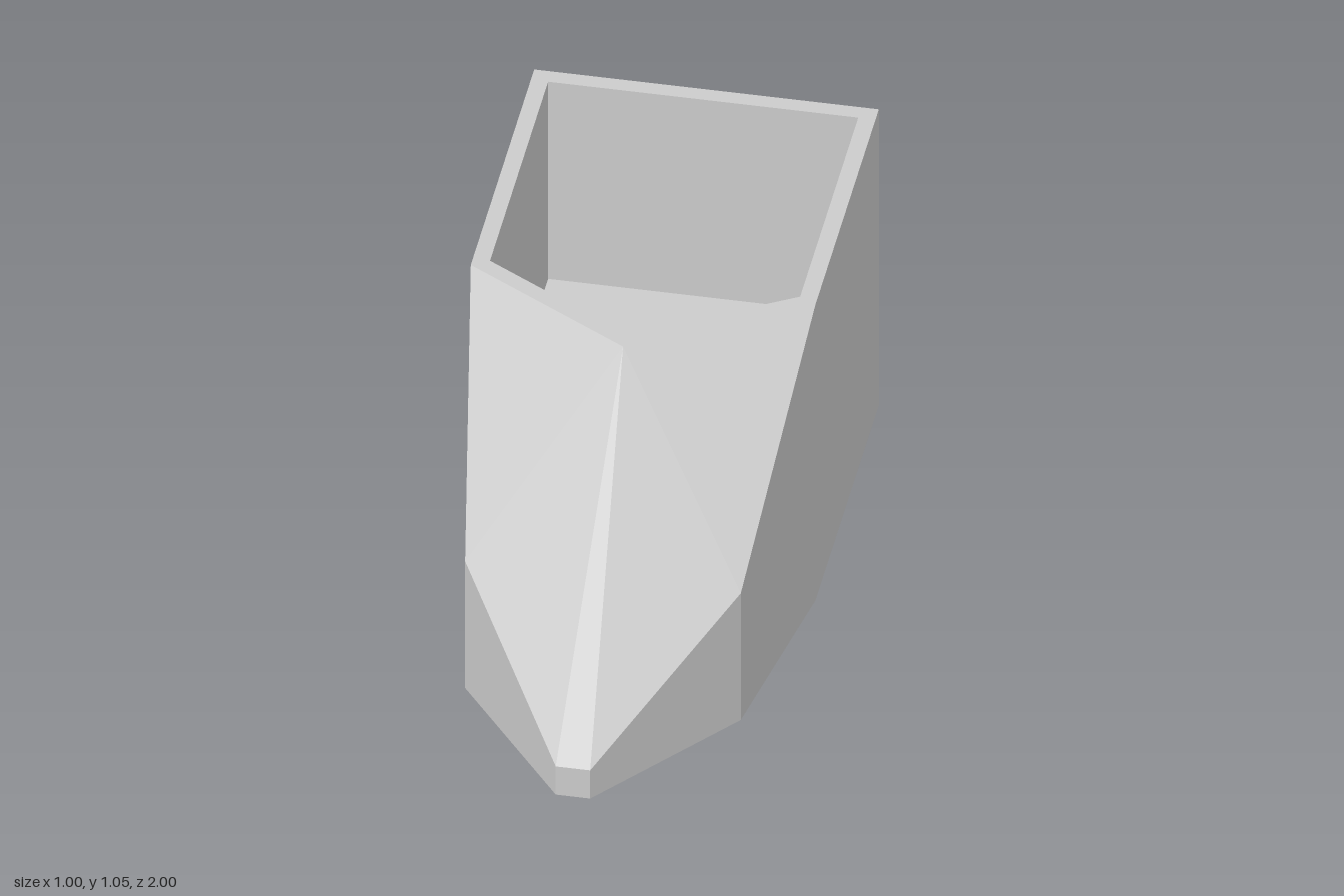
import * as THREE from 'three';

const material = new THREE.MeshStandardMaterial({ color: 0xcccccc, flatShading: true });
const TOP = 1.05;

// Flat panels given for the +x half; each is fanned into triangles and mirrored to -x.
function mirroredPanels(name, panels, inward = false) {
  const pos = [];
  const tri = (a, b, c) => pos.push(...a, ...b, ...c);
  const mirror = ([x, y, z]) => [-x, y, z];
  for (const p of panels) {
    for (let i = 1; i < p.length - 1; i++) {
      const [a, b, c] = inward ? [p[0], p[i + 1], p[i]] : [p[0], p[i], p[i + 1]];
      tri(a, b, c);
      tri(mirror(a), mirror(c), mirror(b));
    }
  }
  const geometry = new THREE.BufferGeometry();
  geometry.setAttribute('position', new THREE.Float32BufferAttribute(pos, 3));
  geometry.computeVertexNormals();
  const mesh = new THREE.Mesh(geometry, material);
  mesh.name = name;
  return mesh;
}

// Upper outline of a half hull: back centre, back corner, shoulder, cheek, nose, nose centre, peak
function outline(halfWidth, back, shoulderZ, cheek, nose, peakZ) {
  return {
    backMid: [0, TOP, back],
    back: [halfWidth, TOP, back],
    shoulder: [halfWidth, TOP, shoulderZ],
    cheek,
    nose,
    noseMid: [0, nose[1], nose[2]],
    peak: [0, TOP, peakZ],
  };
}

// Walls dropped from the outline to a floor height, plus the floor and sloping front
function hullPanels(o, floorY) {
  const down = ([x, , z]) => [x, floorY, z];
  const ring = [o.backMid, o.back, o.shoulder, o.cheek, o.nose, o.noseMid];
  const panels = [ring.map(down)];
  for (let i = 0; i < ring.length - 1; i++) {
    const a = ring[i], b = ring[i + 1];
    panels.push([down(b), down(a), a, b]);
  }
  panels.push([o.peak, o.cheek, o.shoulder], [o.peak, o.noseMid, o.nose, o.cheek]);
  return panels;
}

export function createModel() {
  const group = new THREE.Group();
  group.name = 'hollowHull';

  const outer = outline(0.5, -1, -0.05, [0.4, 0.45, 0.55], [0.05, 0.1, 1], 0.25);
  const inner = outline(0.45, -0.95, -0.08, [0.35, 0.45, 0.52], [0.02, 0.1, 0.94], 0.19);
  const floorY = 0.05;

  group.add(mirroredPanels('outerShell', hullPanels(outer, 0)));
  group.add(mirroredPanels('innerShell', hullPanels(inner, floorY), true));

  // Flat rim joining both shells around the opening
  const keys = ['backMid', 'back', 'shoulder', 'peak'];
  const rim = keys.slice(1).map((k, i) => [outer[keys[i]], inner[keys[i]], inner[k], outer[k]]);
  group.add(mirroredPanels('rim', rim));

  // Bench across the back of the cavity
  const seatHeight = 0.3, seatDepth = 0.395;
  const seat = new THREE.Mesh(new THREE.BoxGeometry(0.9, seatHeight, seatDepth), material);
  seat.name = 'seat';
  seat.position.set(0, floorY + seatHeight / 2, -0.95 + seatDepth / 2);
  group.add(seat);

  return group;
}
